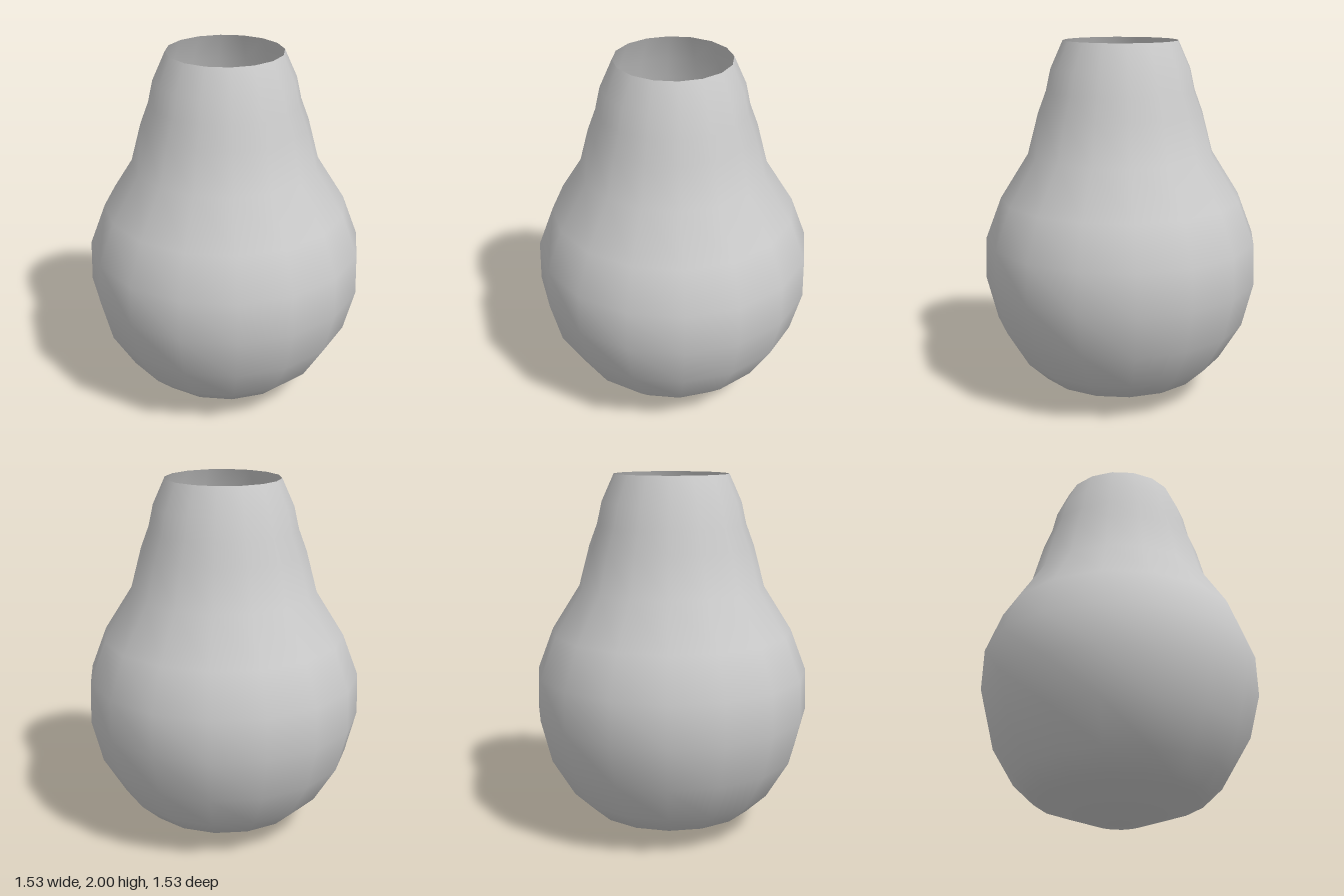
import * as THREE from 'three';

export function createModel() {
  const group = new THREE.Group();
  group.name = 'vase';

  // Radius and height from the base centre up to the open rim
  const profile = [
    [0, 0], [0.14, 0.005], [0.465, 0.12], [0.58, 0.23], [0.705, 0.44],
    [0.765, 0.68], [0.758, 0.91], [0.67, 1.14], [0.515, 1.385],
    [0.455, 1.61], [0.41, 1.73], [0.383, 1.85], [0.315, 2],
  ].map(([r, y]) => new THREE.Vector2(r, y));

  // Thin, sixteen-sided shell with smooth shading, open at the top
  const body = new THREE.Mesh(
    new THREE.LatheGeometry(profile, 16),
    new THREE.MeshStandardMaterial({ color: 0xcccccc, side: THREE.DoubleSide })
  );
  body.name = 'vaseBody';
  group.add(body);

  return group;
}
